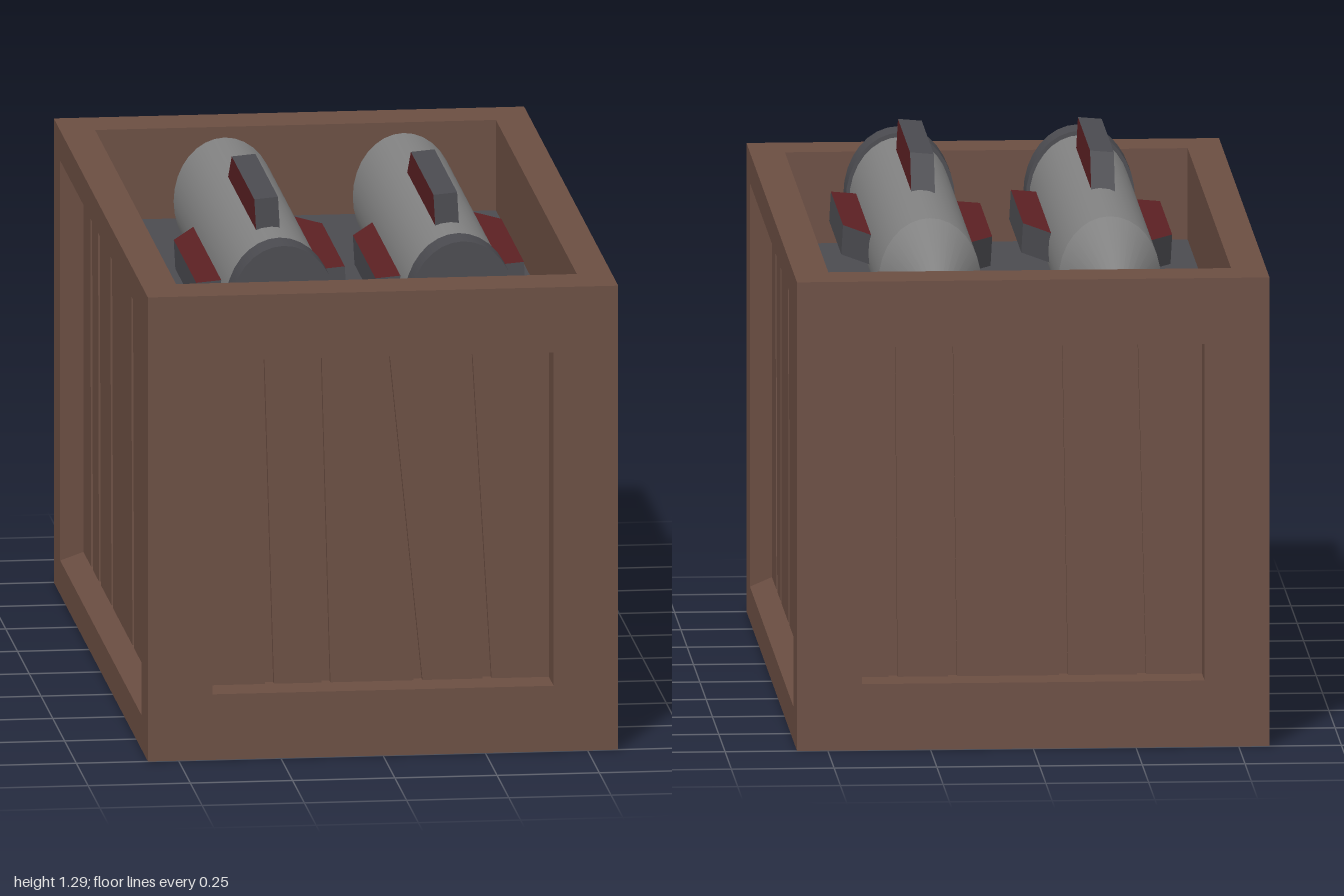
import * as THREE from 'three';

const W = 0.575, L = 1, H = 1.155, FLOOR = 0.93;
const mat = (name, color) => Object.assign(new THREE.MeshStandardMaterial({ color }), { name });

export function createModel() {
  const wood = mat('brown wood', 0x6b4e42);
  const steel = mat('dark grey steel', 0x4b4b50);
  const shell = mat('light grey shell', 0x828282);
  const red = mat('dark red', 0x5c2023);

  const model = new THREE.Group();
  const add = (parent, name, geometry, material) => {
    const m = new THREE.Mesh(geometry, material);
    m.name = name;
    parent.add(m);
    return m;
  };

  // Rectangular rings joined in order; each ring is [x0, y0, x1, y1, z], facing +z
  function steps(rings) {
    const pos = [];
    const corners = ([x0, y0, x1, y1, z]) => [[x0, y0, z], [x1, y0, z], [x1, y1, z], [x0, y1, z]];
    for (let r = 0; r + 1 < rings.length; r++) {
      const a = corners(rings[r]), b = corners(rings[r + 1]);
      for (let i = 0; i < 4; i++) {
        const j = (i + 1) % 4;
        pos.push(...a[i], ...a[j], ...b[j], ...a[i], ...b[j], ...b[i]);
      }
    }
    const g = new THREE.BufferGeometry();
    g.setAttribute('position', new THREE.Float32BufferAttribute(pos, 3));
    g.computeVertexNormals();
    return g;
  }

  // One crate wall: frame, recess and slanted planks; gaps are [top, bottom] centres
  function wall(name, half, out, hole, inner, depth, gap, gaps, angle) {
    const g = new THREE.Group();
    g.name = name;
    const groove = 0.02;
    const rect = ([hw, y0, y1], z) => [-hw, y0, hw, y1, z];
    add(g, 'frame', steps([[-half, 0, half, H, 0], rect(hole, 0), rect(inner, -depth),
      rect(inner, -depth - groove)]), wood);
    const [hw, y0, y1] = inner;
    const back = add(g, 'backing', new THREE.PlaneGeometry(2 * hw, y1 - y0), wood);
    back.position.set(0, (y0 + y1) / 2, -depth - groove);
    let left = [-hw, -hw];
    for (const next of [...gaps, null]) {
      const right = next ? next.map(v => v - gap / 2) : [hw, hw];
      const s = new THREE.Shape([
        new THREE.Vector2(left[1], y0), new THREE.Vector2(right[1], y0),
        new THREE.Vector2(right[0], y1), new THREE.Vector2(left[0], y1)]);
      const plank = add(g, 'plank', new THREE.ExtrudeGeometry(s, { depth: groove, bevelEnabled: false }), wood);
      plank.position.z = -depth - groove;
      if (next) left = next.map(v => v + gap / 2);
    }
    g.rotation.y = angle;
    g.position.set(Math.sin(angle) * out, 0, Math.cos(angle) * out);
    model.add(g);
  }

  const endHole = [0.417, 0.163, 0.993];
  wall('frontWall', W, L, endHole, endHole, 0.1, 0.022,
    [[-0.29, -0.266], [-0.15, -0.128], [0.015, 0.097], [0.218, 0.266]], 0);
  wall('backWall', W, L, endHole, endHole, 0.1, 0.022,
    [[-0.34, -0.335], [-0.2, -0.19], [0.066, 0.08], [0.25, 0.27]], Math.PI);
  const sideHole = [0.863, 0.085, 1.08], sideInner = [0.805, 0.118, 1.045];
  wall('leftWall', L, W, sideHole, sideInner, 0.05, 0.038,
    [[-0.65, -0.612], [-0.44, -0.442], [-0.145, -0.131], [0.147, 0.153], [0.41, 0.402], [0.587, 0.627]],
    Math.PI / 2);
  wall('rightWall', L, W, sideHole, sideInner, 0.05, 0.038,
    [[-0.64, -0.62], [-0.475, -0.455], [-0.215, -0.19], [0.23, 0.255], [0.5, 0.52], [0.695, 0.735]],
    -Math.PI / 2);

  // Top rim with the cavity walls, cavity floor and underside
  const opening = [-0.49, -0.86, 0.49, 0.86];
  add(model, 'rimAndCavity', steps([[-W, -L, W, L, H], [...opening, H], [...opening, FLOOR]]), wood)
    .rotation.x = -Math.PI / 2;
  const floor = add(model, 'cavityFloor', new THREE.PlaneGeometry(0.98, 1.72), steel);
  floor.rotation.x = -Math.PI / 2;
  floor.position.y = FLOOR;
  add(model, 'underside', new THREE.PlaneGeometry(2 * W, 2 * L), wood).rotation.x = Math.PI / 2;

  // Two rockets, pointing to the back
  const finShape = new THREE.Shape([[0.53, 0.08], [0.53, 0.182], [0.05, 0.182], [-0.07, 0.118], [-0.07, 0.08]]
    .map(p => new THREE.Vector2(...p)));
  const fin = new THREE.ExtrudeGeometry(finShape, { depth: 0.058, bevelEnabled: false });
  fin.translate(0, 0, -0.029).rotateY(-Math.PI / 2);

  // Cylinder along z between z0 (back) and z1 (front)
  const tube = (r0, r1, z0, z1) => new THREE.CylinderGeometry(r1, r0, z1 - z0, 32)
    .rotateX(Math.PI / 2).translate(0, 0, (z0 + z1) / 2);

  for (const x of [-0.219, 0.219]) {
    const rocket = new THREE.Group();
    rocket.name = 'rocket';
    add(rocket, 'body', tube(0.1245, 0.1245, -0.465, 0.7), shell);
    add(rocket, 'noseCone', tube(0, 0.1245, -0.853, -0.465), shell);
    add(rocket, 'tailRing', tube(0.133, 0.133, 0.7, 0.793), steel);
    for (let i = 0; i < 4; i++) {
      add(rocket, 'fin', fin, [red, steel]).rotation.z = i * Math.PI / 2 + 0.07;
    }
    rocket.scale.y = 1.25;
    rocket.position.set(x, 1.062, 0);
    model.add(rocket);
  }
  return model;
}
